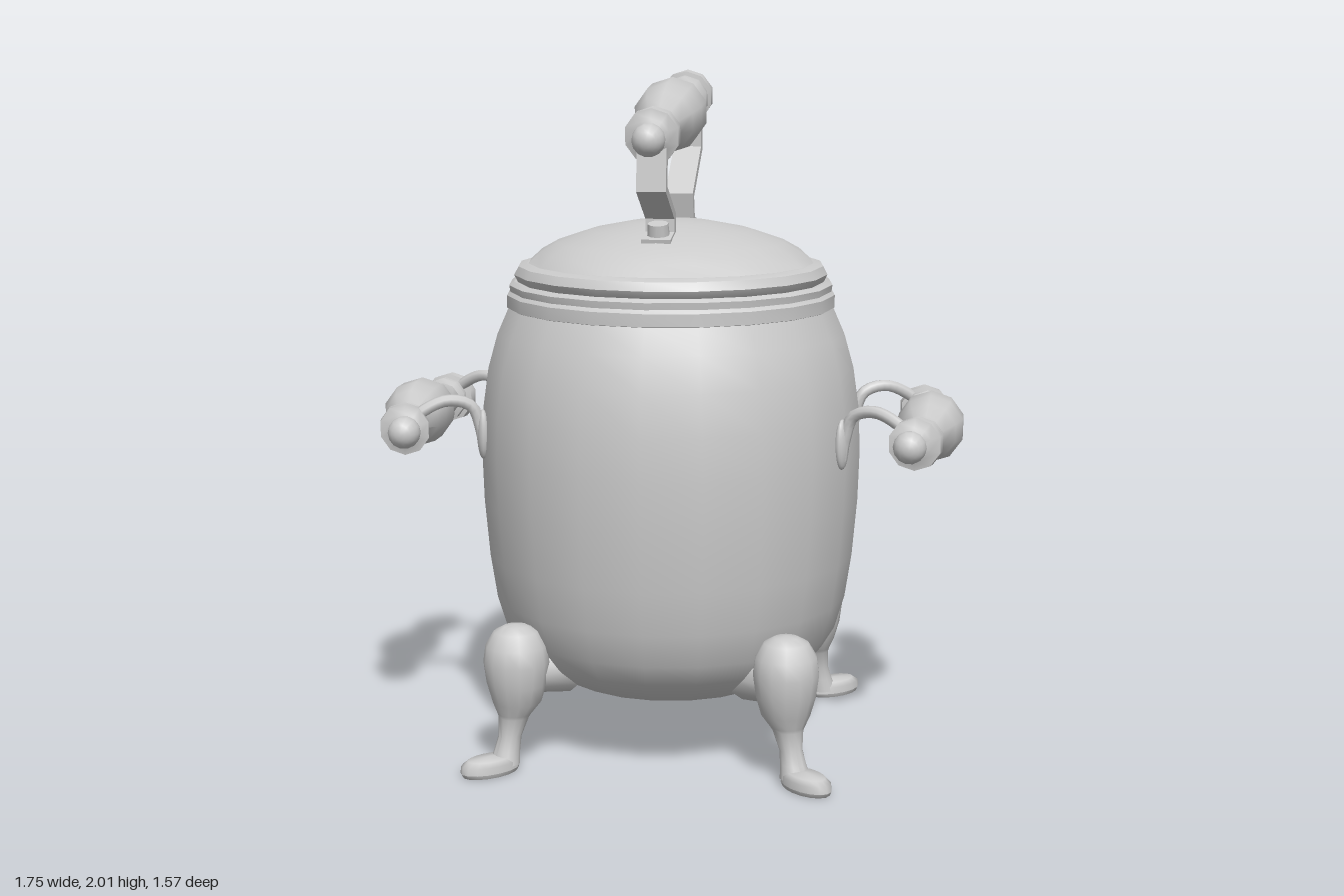
import * as THREE from 'three';
import { toCreasedNormals } from 'three/addons/utils/BufferGeometryUtils.js';

const material = new THREE.MeshStandardMaterial({ color: 0xcccccc, side: THREE.DoubleSide });
const AXIS_Z = 0.215; // centre line of the urn

function part(name, geometry, x = 0, y = 0, z = 0) {
  const mesh = new THREE.Mesh(geometry, material);
  mesh.name = name;
  mesh.position.set(x, y, z);
  return mesh;
}

// Turned form from [radius, height] pairs; shift(y) optionally bends the axis in x.
function turned(points, sides, shift) {
  const g = new THREE.LatheGeometry(points.map(([r, y]) => new THREE.Vector2(r, y)), sides);
  if (shift) {
    const p = g.attributes.position;
    for (let i = 0; i < p.count; i++) p.setX(i, p.getX(i) + shift(p.getY(i)));
  }
  return toCreasedNormals(g, 0.7);
}

const ball = (r) => new THREE.SphereGeometry(r, 14, 10);

// Flat metal strap following a [z, y] path with mitred bends.
function strap(path, width, thickness) {
  const pts = path.map(([z, y]) => new THREE.Vector2(z, y));
  const normal = (a, b) => new THREE.Vector2(a.y - b.y, b.x - a.x).normalize();
  const left = [], right = [];
  pts.forEach((p, i) => {
    const n1 = normal(pts[Math.max(i - 1, 0)], pts[Math.max(i, 1)]);
    const last = pts.length - 1;
    const n2 = normal(pts[Math.min(i, last - 1)], pts[Math.min(i + 1, last)]);
    const n = n1.clone().add(n2).normalize();
    n.multiplyScalar(thickness / 2 / n.dot(n1));
    left.push(p.clone().add(n));
    right.unshift(p.clone().sub(n));
  });
  const g = new THREE.ExtrudeGeometry(new THREE.Shape([...left, ...right]), { depth: width, bevelEnabled: false });
  g.translate(0, 0, -width / 2);
  return g.rotateY(-Math.PI / 2);
}

// Turned grip with collars and a ball at each end, running along y.
function grip(name, length, radius, bend = 0) {
  const half = [[0.03, 0.37], [0.05, 0.355], [0.078, 0.348], [0.078, 0.312], [0.056, 0.307], [0.056, 0.292],
    [0.07, 0.287], [0.07, 0.268], [0.054, 0.262], [0.06, 0.19], [0.086, 0.12], [0.102, 0.05]];
  const profile = [...half.map(([r, t]) => [r, -t]), ...half.slice().reverse()]
    .map(([r, t]) => [r * radius, t * length]);
  const shift = (y) => bend * (y / (0.405 * length)) ** 2;
  const group = new THREE.Group();
  group.name = name;
  group.add(part('gripBody', turned([[0, profile[0][1]], ...profile, [0, -profile[0][1]]], 10, shift)));
  for (const s of [-1, 1]) group.add(part('gripBall', ball(0.048), bend, s * 0.405 * length, 0));
  return group;
}

function createTopHandle() {
  const group = new THREE.Group();
  group.name = 'lidHandle';
  const handle = grip('lidGrip', 1, 1.02);
  handle.position.set(0, 1.89, 0.2125);
  handle.rotation.x = Math.PI / 2 + 0.123;
  group.add(handle);
  const front = [[0.54, 1.88], [0.56, 1.7], [0.405, 1.61], [0.405, 1.555], [0.49, 1.537]];
  const rear = [[-0.125, 1.95], [-0.13, 1.77], [0.045, 1.64], [0.025, 1.56], [-0.07, 1.54]];
  for (const path of [front, rear]) {
    group.add(part('handleStrap', strap(path, 0.085, 0.026)));
    const [a, b] = path.slice(3);
    const bolt = part('strapBolt', new THREE.CylinderGeometry(0.03, 0.033, 0.04, 10),
      0, (a[1] + b[1]) / 2 + 0.027, (a[0] + b[0]) / 2);
    bolt.rotation.x = Math.atan2(a[1] - b[1], Math.abs(a[0] - b[0])) * Math.sign(b[0] - a[0]);
    group.add(bolt);
  }
  return group;
}

function createSideHandle(s) {
  const group = new THREE.Group();
  group.name = s > 0 ? 'leftHandle' : 'rightHandle';
  const handle = grip('sideGrip', 0.82, 0.98, -s * 0.045);
  handle.position.set(s * 0.78, 0.98, 0.222);
  handle.rotation.x = Math.PI / 2;
  handle.rotation.z = 0;
  group.add(handle);
  // Arched arms with a teardrop pad on the urn wall
  for (const [zIn, zOut] of [[0.03, -0.05], [0.415, 0.5]]) {
    const at = (x, y, t) => new THREE.Vector3(s * x, y, zIn + (zOut - zIn) * t);
    const curve = new THREE.CatmullRomCurve3([at(0.75, 0.98, 1), at(0.7, 1.03, 0.8), at(0.63, 1.06, 0.45),
      at(0.565, 1.04, 0.1), at(0.54, 0.97, 0), at(0.53, 0.91, 0)]);
    group.add(part('handleArm', new THREE.TubeGeometry(curve, 18, 0.018, 8)));
    const pad = part('armPad', ball(1), s * 0.533, 0.955, zIn);
    pad.scale.set(0.018, 0.075, 0.032);
    pad.rotation.y = s * (zIn < AXIS_Z ? 0.35 : -0.35);
    group.add(pad);
  }
  return group;
}

function createLeg(angle) {
  const group = new THREE.Group();
  group.name = 'leg';
  // Knee and ankle lean outward towards the foot
  const lean = (y) => 0.56 + 0.05 * Math.max(0, (0.2 - y) / 0.2);
  group.add(part('legColumn', turned([[0.045, 0.02], [0.038, 0.06], [0.034, 0.1], [0.045, 0.155], [0.05, 0.165],
    [0.072, 0.2], [0.088, 0.255], [0.097, 0.32], [0.09, 0.37], [0.065, 0.412], [0.035, 0.428], [0, 0.433]], 14, lean)));
  // Bracket joining the knee to the urn
  const stub = part('legBracket', new THREE.CylinderGeometry(0.06, 0.085, 0.16, 10), 0.47, 0.285, 0);
  stub.rotation.z = -Math.PI / 2;
  group.add(stub);
  const foot = part('foot', turned([[0, 0], [0.93, 0], [1, 0.012], [0.97, 0.032], [0.75, 0.045], [0, 0.05]], 16), 0.655, 0, 0);
  foot.scale.set(0.095, 1, 0.055);
  group.add(foot);
  group.position.z = AXIS_Z;
  group.rotation.y = angle;
  return group;
}

function createSpigot() {
  const group = new THREE.Group();
  group.name = 'spigot';
  // Oval pipe with a wall flange
  const pipe = part('spigotPipe', turned([[0, 0], [0.135, 0], [0.138, 0.07], [0.125, 0.09], [0.108, 0.095],
    [0.106, 0.18], [0.116, 0.25], [0.1, 0.33], [0, 0.33]], 16), 0, 0.758, -0.3);
  pipe.rotation.x = -Math.PI / 2;
  pipe.scale.x = 0.74;
  group.add(pipe);

  const barrel = part('spigotBarrel', turned([[0, -0.2], [0.03, -0.2], [0.045, -0.21], [0.09, -0.125], [0.092, -0.115],
    [0.112, -0.03], [0.119, 0.03], [0.115, 0.09], [0.102, 0.14], [0.084, 0.15], [0.084, 0.175], [0.076, 0.18],
    [0.076, 0.2], [0.03, 0.21], [0.03, 0.24], [0, 0.24]], 10), 0, 0.8, -0.65);
  barrel.rotation.x = 0.11;
  group.add(barrel);

  // Valve key with a crank and upright knob
  group.add(part('valveKey', turned([[0, 1.0], [0.025, 1.0], [0.025, 1.03], [0.047, 1.035], [0.047, 1.05],
    [0.035, 1.14], [0.04, 1.155], [0.04, 1.175], [0.025, 1.19], [0, 1.19]], 10), 0, 0, -0.628));
  const crank = new THREE.CatmullRomCurve3([[0, 1.1, -0.63], [-0.05, 1.1, -0.665], [-0.09, 1.125, -0.7],
    [-0.135, 1.13, -0.735]].map((p) => new THREE.Vector3(...p)));
  group.add(part('crankArm', new THREE.TubeGeometry(crank, 12, 0.02, 8)));
  group.add(part('crankKnob', turned([[0, 1.06], [0.035, 1.06], [0.037, 1.085], [0.03, 1.1], [0.038, 1.18],
    [0.046, 1.2], [0.046, 1.22], [0.025, 1.235], [0.025, 1.25], [0, 1.25]], 10), -0.135, 0, -0.73));
  group.add(part('crankBall', ball(0.052), -0.135, 1.285, -0.735));
  return group;
}

export function createModel() {
  const model = new THREE.Group();
  model.name = 'footedUrn';

  // Barrel-shaped vessel with a rim band
  model.add(part('vessel', turned([[0, 0.18], [0.26, 0.18], [0.32, 0.195], [0.4, 0.235], [0.46, 0.285], [0.5, 0.35],
    [0.53, 0.45], [0.55, 0.58], [0.565, 0.75], [0.57, 0.9], [0.565, 1.03], [0.548, 1.15], [0.52, 1.25], [0.485, 1.33]],
  20), 0, 0, AXIS_Z));
  model.add(part('rimBand', turned([[0.47, 1.32], [0.49, 1.328], [0.49, 1.365], [0.48, 1.375], [0.483, 1.395],
    [0.468, 1.405], [0.44, 1.4]], 20), 0, 0, AXIS_Z));
  model.add(part('lid', turned([[0.44, 1.39], [0.455, 1.4], [0.468, 1.425], [0.455, 1.45], [0.43, 1.458],
    [0.425, 1.458], [0.39, 1.49], [0.34, 1.518], [0.24, 1.552], [0.12, 1.576], [0, 1.588]], 20), 0, 0, AXIS_Z));

  model.add(createTopHandle(), createSpigot());
  for (const s of [-1, 1]) model.add(createSideHandle(s));
  for (let i = 0; i < 4; i++) model.add(createLeg(Math.PI / 4 + (i * Math.PI) / 2));
  return model;
}
